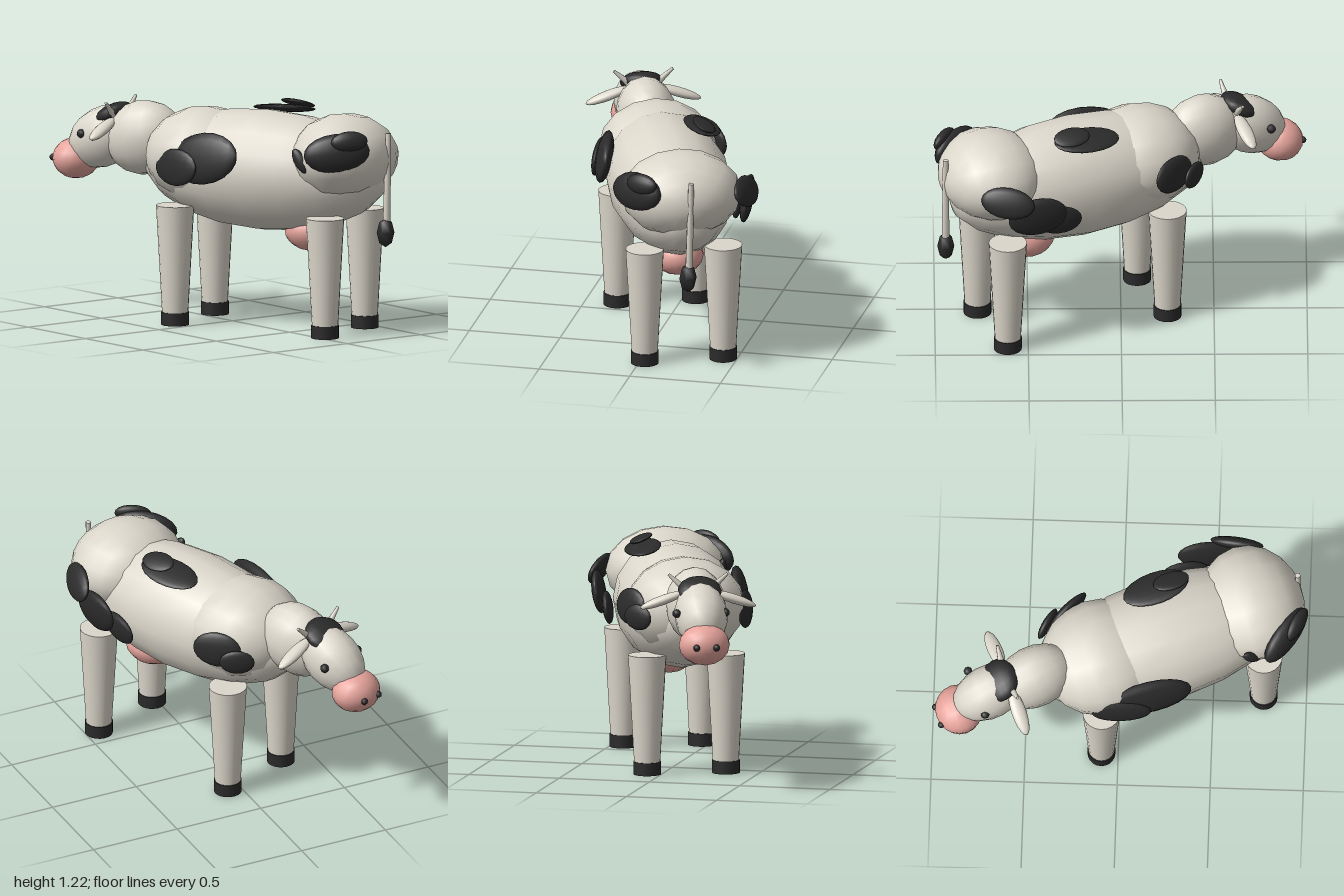
import * as THREE from 'three';

const paint = (name, color) => {
  const m = new THREE.MeshStandardMaterial({ color });
  m.name = name;
  return m;
};

export function createModel() {
  const cow = new THREE.Group();
  cow.name = 'cow';
  const hide = paint('creamHide', 0xdcd7cb);
  const black = paint('black', 0x2b2b2b);
  const pink = paint('pinkSkin', 0xe6a49c);
  const yaw = 0.38; // the animal stands turned about the vertical

  // Unit balls with the poles along the length
  const ball = new THREE.SphereGeometry(1, 16, 10).rotateZ(Math.PI / 2);
  const smallBall = new THREE.SphereGeometry(1, 8, 6);

  const add = (name, geo, mat, pos) => {
    const mesh = new THREE.Mesh(geo, mat);
    mesh.name = name;
    mesh.position.set(...pos);
    cow.add(mesh);
    return mesh;
  };
  // Ellipsoid: radii along, up and across, turned by yaw, pitch and roll
  const blob = (name, mat, pos, radii, turn = yaw, pitch = 0, roll = 0, geo = ball) => {
    const mesh = add(name, geo, mat, pos);
    mesh.scale.set(...radii);
    mesh.rotation.set(roll, turn, pitch, 'YZX');
    return mesh;
  };
  // Tapered rod between two points
  const rod = (name, mat, a, b, ra, rb, sides) => {
    const from = new THREE.Vector3(...a), to = new THREE.Vector3(...b);
    const dir = to.clone().sub(from);
    const mesh = add(name, new THREE.CylinderGeometry(rb, ra, dir.length(), sides), mat,
      from.clone().add(to).multiplyScalar(0.5).toArray());
    mesh.quaternion.setFromUnitVectors(new THREE.Vector3(0, 1, 0), dir.normalize());
    return mesh;
  };

  // Body
  blob('torso', hide, [0.245, 0.85, -0.04], [0.73, 0.328, 0.33]);
  blob('chest', hide, [-0.1, 0.9, 0.1], [0.33, 0.265, 0.32]);
  blob('rump', hide, [0.7, 0.96, -0.215], [0.28, 0.232, 0.325]);
  blob('udder', pink, [0.51, 0.54, -0.15], [0.155, 0.11, 0.14]);

  // Neck and head
  blob('neck', hide, [-0.45, 0.965, 0.245], [0.225, 0.202, 0.16], 0.45, 0.25);
  blob('head', hide, [-0.69, 0.95, 0.335], [0.215, 0.16, 0.142], yaw, 0.5);
  blob('muzzle', pink, [-0.855, 0.82, 0.395], [0.125, 0.112, 0.138]);
  blob('headPatch', black, [-0.64, 1.077, 0.315], [0.108, 0.052, 0.118], yaw, 0.5);

  for (const [x, y, z, r, name] of [
    [-0.71, 0.975, 0.475, 0.024, 'leftEye'], [-0.81, 0.975, 0.23, 0.024, 'rightEye'],
    [-0.945, 0.82, 0.485, 0.019, 'leftNostril'], [-0.98, 0.82, 0.385, 0.019, 'rightNostril'],
  ]) blob(name, black, [x, y, z], [r, r, r], 0, 0, 0, smallBall);

  // Horns and ears, mirrored about the head's own midplane
  const mid = new THREE.Vector3(-0.61, 0, 0.3);
  const fwd = new THREE.Vector3(Math.cos(yaw), 0, -Math.sin(yaw));
  const side = new THREE.Vector3(Math.sin(yaw), 0, Math.cos(yaw));
  const place = (along, y, across) => mid.clone()
    .addScaledVector(fwd, along).addScaledVector(side, across).setY(y).toArray();
  for (const s of [1, -1]) {
    const label = s > 0 ? 'left' : 'right';
    rod(label + 'Horn', hide, place(0.01, 1.06, s * 0.05), place(0.015, 1.16, s * 0.16), 0.024, 0.008, 8);
    blob(label + 'Ear', hide, place(0.012, 1.022, s * 0.19), [0.04, 0.026, 0.132],
      yaw, 0, s * 0.33);
  }

  // Legs with hooves
  for (const [x, z, name] of [
    [-0.09, 0.32, 'frontLeft'], [-0.25, -0.075, 'frontRight'],
    [0.77, -0.03, 'rearLeft'], [0.61, -0.425, 'rearRight'],
  ]) {
    rod(name + 'Leg', hide, [x, 0.06, z], [x, 0.65, z], 0.07, 0.103, 20);
    rod(name + 'Hoof', black, [x, 0, z], [x, 0.07, z], 0.075, 0.075, 20);
  }

  // Tail with tuft
  rod('tail', hide, [0.943, 0.6, -0.314], [0.943, 1.105, -0.326], 0.021, 0.015, 8);
  blob('tailTuft', black, [0.942, 0.567, -0.308], [0.046, 0.08, 0.049], 0, 0, 0,
    new THREE.SphereGeometry(1, 6, 4));

  // Hide spots: position, radii, yaw, pitch, roll
  const spots = [
    // left flank
    [[0.175, 0.935, 0.33], [0.225, 0.14, 0.045], 0.24, 0.15, -0.2],
    [[0.02, 0.875, 0.4], [0.16, 0.1, 0.027], 0.06, 0.05, -0.1],
    // left of the rump
    [[0.89, 1.018, -0.015], [0.178, 0.105, 0.06], 0.98, 0.1, -0.15],
    [[0.95, 1.085, -0.055], [0.1, 0.056, 0.035], 1.1, 0.05, -0.25],
    [[0.712, 0.965, 0.095], [0.075, 0.034, 0.025], 0.38, -1.0, 0],
    // back
    [[0.185, 1.16, -0.21], [0.185, 0.1, 0.02], yaw, 0.05, -1.8],
    [[0.265, 1.195, -0.24], [0.1, 0.065, 0.015], yaw, -0.05, -1.95],
    // right shoulder
    [[-0.285, 0.915, -0.155], [0.135, 0.1, 0.032], 0.82, 0, 0.1],
    [[-0.393, 0.875, -0.09], [0.095, 0.07, 0.025], 1.07, 0, 0],
    // right haunch
    [[0.61, 0.965, -0.552], [0.145, 0.085, 0.033], -0.15, 0.1, 0.4],
    [[0.45, 0.865, -0.52], [0.16, 0.12, 0.035], 0.12, -0.2, -0.15],
    [[0.335, 0.8, -0.442], [0.125, 0.09, 0.028], 0.18, 0, -0.15],
  ];
  spots.forEach(([pos, radii, ...turn], i) => blob('spot' + (i + 1), black, pos, radii, ...turn));

  return cow;
}
